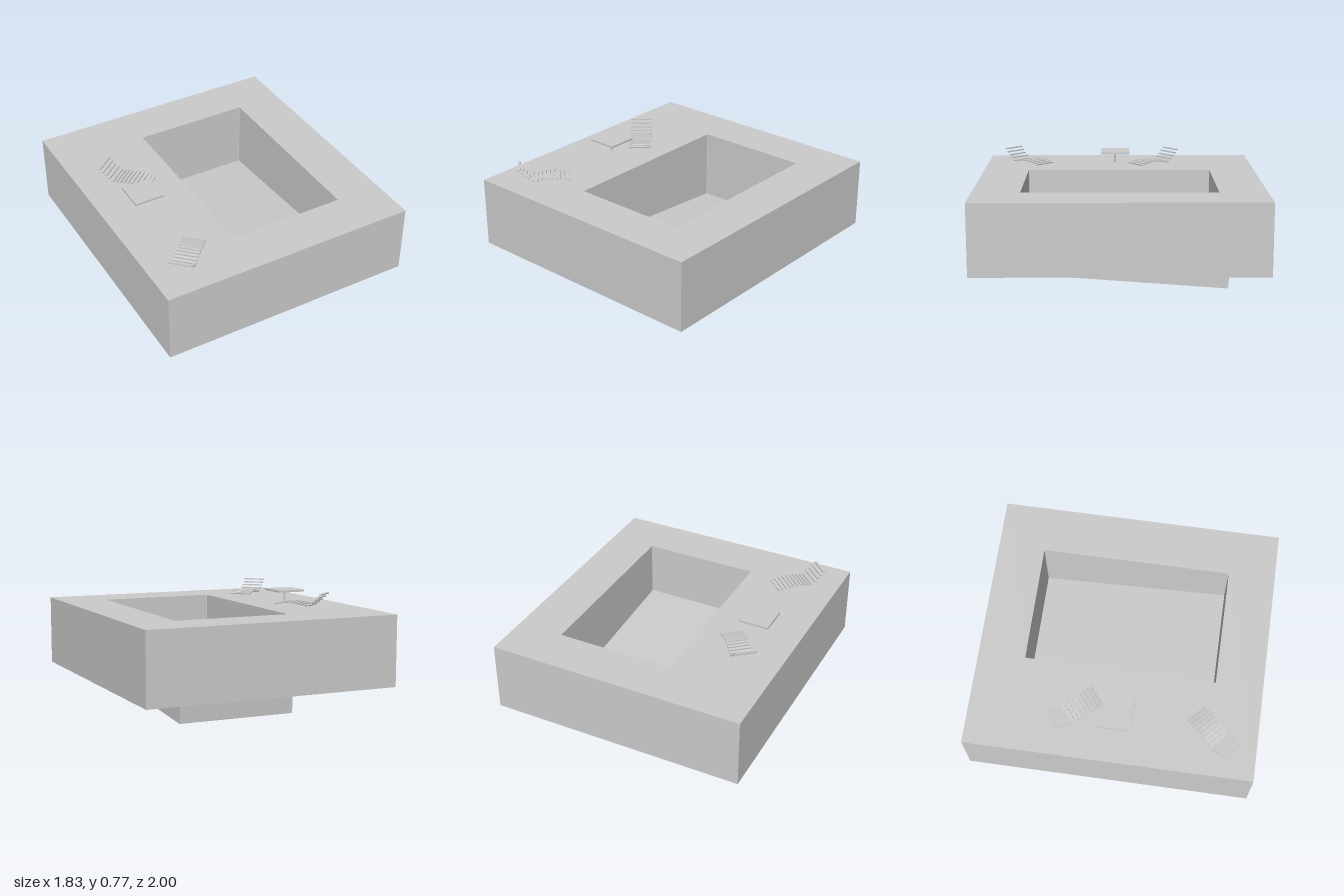
import * as THREE from 'three';

const material = new THREE.MeshStandardMaterial({ color: 0xcccccc, flatShading: true });

function addMesh(parent, name, geometry, x = 0, y = 0, z = 0) {
  const mesh = new THREE.Mesh(geometry, material);
  mesh.name = name;
  mesh.position.set(x, y, z);
  parent.add(mesh);
  return mesh;
}

// Slatted lounger running from its head to its foot, both given as [x, z].
function createLounger(name, head, foot) {
  const lounger = new THREE.Group();
  lounger.name = name;
  lounger.position.set(head[0], 0, head[1]);
  lounger.rotation.y = Math.atan2(foot[0] - head[0], foot[1] - head[1]);
  const slat = new THREE.BoxGeometry(0.158, 0.009, 0.018);

  // Raised backrest: level slats stepping down towards the seat
  const back = [[0, 0.764], [0.022, 0.742], [0.045, 0.721], [0.069, 0.701], [0.094, 0.682]];
  back.forEach(([z, y]) => addMesh(lounger, 'backSlat', slat, 0, y, z));

  // Gently arched seat
  const count = 9, start = 0.122, length = 0.228;
  for (let i = 0; i < count; i++) {
    const t = i / (count - 1);
    const y = 0.682 + 0.016 * Math.sin(Math.PI * t);
    const seatSlat = addMesh(lounger, 'seatSlat', slat, 0, y, start + length * t);
    seatSlat.rotation.x = -Math.atan(0.016 * Math.PI * Math.cos(Math.PI * t) / length);
  }
  return lounger;
}

export function createModel() {
  const model = new THREE.Group();
  model.name = 'poolDeck';

  // Thick deck with the pool opening cut through it
  const outline = new THREE.Shape([
    new THREE.Vector2(-0.915, -1), new THREE.Vector2(0.915, -1),
    new THREE.Vector2(0.915, 1), new THREE.Vector2(-0.915, 1),
  ]);
  const [x0, x1, z0, z1, r] = [-0.252, 0.582, -0.67, 0.67, 0.006];
  const opening = new THREE.Path();
  opening.moveTo(x0 + r, z0);
  opening.lineTo(x1 - r, z0);
  opening.quadraticCurveTo(x1, z0, x1, z0 + r);
  opening.lineTo(x1, z1 - r);
  opening.quadraticCurveTo(x1, z1, x1 - r, z1);
  opening.lineTo(x0 + r, z1);
  opening.quadraticCurveTo(x0, z1, x0, z1 - r);
  opening.lineTo(x0, z0 + r);
  opening.quadraticCurveTo(x0, z0, x0 + r, z0);
  outline.holes.push(opening);
  const deck = new THREE.ExtrudeGeometry(outline, { depth: 0.5, bevelEnabled: false, curveSegments: 3 });
  deck.rotateX(-Math.PI / 2);
  addMesh(model, 'deck', deck, 0, 0.172, 0);

  // Sloping pool floor, deeper at the back
  const floor = addMesh(model, 'poolFloor', new THREE.BoxGeometry(x1 - x0, 0.165, 1.5), (x0 + x1) / 2, 0.1373, 0);
  floor.rotation.x = -0.0735;

  // Side table
  const table = new THREE.Group();
  table.name = 'sideTable';
  table.position.set(-0.597, 0, 0.028);
  addMesh(table, 'tableTop', new THREE.BoxGeometry(0.215, 0.015, 0.215), 0, 0.757, 0);
  addMesh(table, 'tablePost', new THREE.CylinderGeometry(0.008, 0.008, 0.08, 12), 0, 0.711, 0);
  model.add(table);

  // Loungers either side of the table
  model.add(createLounger('frontLounger', [-0.739, 0.819], [-0.497, 0.57]));
  model.add(createLounger('backLounger', [-0.687, -0.402], [-0.468, -0.137]));

  return model;
}
